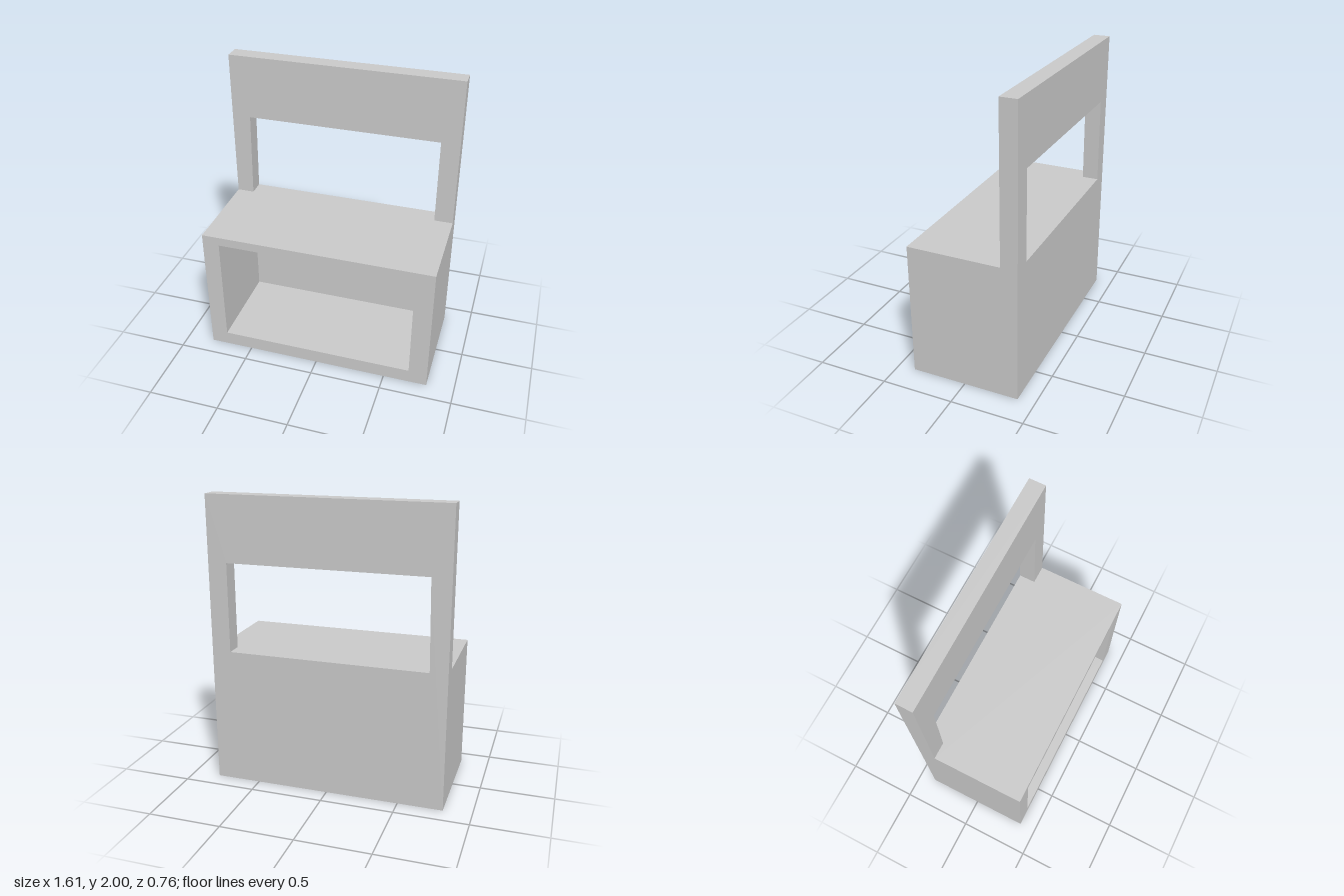
import * as THREE from 'three';

const W = 0.807, BACK = -0.38, PANEL_FRONT = -0.265, FRONT = 0.38;
const COUNTER = 0.945, TOP = 2;

const points = (list) => list.map(([x, y]) => new THREE.Vector2(x, y));

// Plate with one opening, extruded from z0 to z1
function frame(name, outline, opening, z0, z1, material) {
  const shape = new THREE.Shape(points(outline));
  shape.holes.push(new THREE.Path(points(opening)));
  const geometry = new THREE.ExtrudeGeometry(shape, { depth: z1 - z0, bevelEnabled: false });
  geometry.translate(0, 0, z0);
  const mesh = new THREE.Mesh(geometry, material);
  mesh.name = name;
  return mesh;
}

const rect = (x0, y0, x1, y1) => [[x0, y0], [x1, y0], [x1, y1], [x0, y1]];

export function createModel() {
  const group = new THREE.Group();
  group.name = 'marketStall';
  const material = new THREE.MeshStandardMaterial({ color: 0xcccccc, flatShading: true });

  // Tall back panel with a window whose left edge leans slightly
  const windowOpening = [[-0.688, COUNTER], [0.677, COUNTER], [0.677, 1.555], [-0.677, 1.555]];
  group.add(frame('backPanel', rect(-W, 0, W, TOP), windowOpening, BACK, PANEL_FRONT, material));

  // Counter cabinet, open at the front and closed behind by the panel
  group.add(frame('counterCabinet', rect(-W, 0, W, COUNTER),
    rect(-0.688, 0.1, 0.677, 0.883), PANEL_FRONT, FRONT, material));

  return group;
}
